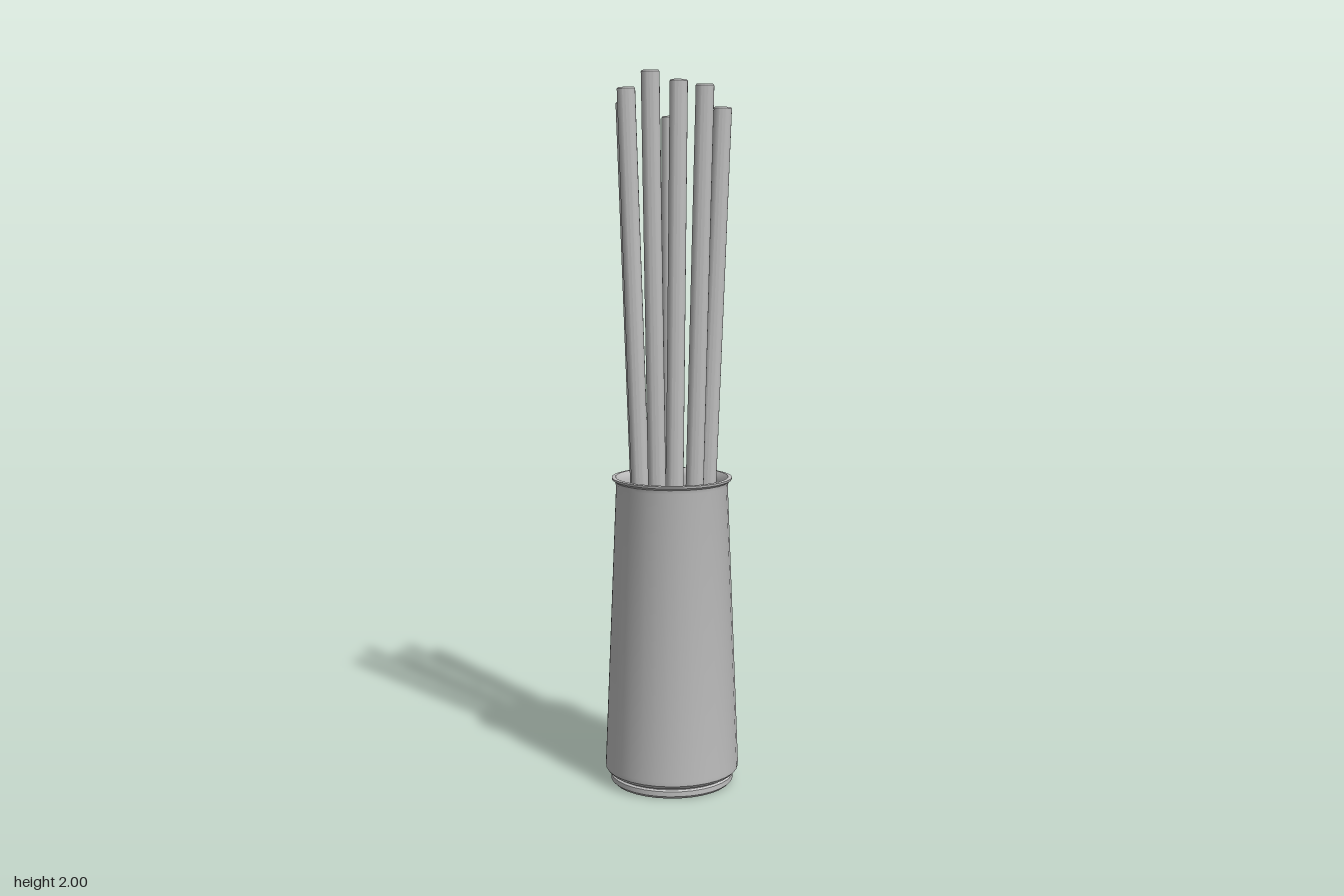
import * as THREE from 'three';
import { toCreasedNormals } from 'three/addons/utils/BufferGeometryUtils.js';

const FLOOR = 0.05;

// Lathe from [radius, height] pairs, with crisp profile corners
function turned(profile, segments) {
  const points = profile.map(([r, y]) => new THREE.Vector2(r, y));
  return toCreasedNormals(new THREE.LatheGeometry(points, segments), 0.5);
}

export function createModel() {
  const group = new THREE.Group();
  const grey = new THREE.MeshStandardMaterial({ color: 0xc0c0c0 });
  grey.name = 'pale grey';

  // Tapered holder: foot, groove, outer wall, flared lip, inner wall and floor
  const holder = new THREE.Mesh(turned([
    [0, 0], [0.168, 0], [0.176, 0.008], [0.176, 0.022], [0.17, 0.026],
    [0.17, 0.03], [0.181, 0.032], [0.19, 0.042], [0.191, 0.055],
    [0.158, 0.862], [0.161, 0.873], [0.169, 0.879], [0.17, 0.885],
    [0.159, 0.886], [0.152, 0.876], [0.148, 0.862],
    [0.178, FLOOR + 0.01], [0.17, FLOOR], [0, FLOOR],
  ], 32), grey);
  holder.name = 'holder';
  group.add(holder);

  // Leaning sticks: x, height and z of each top; each foot sits half as far out
  const tops = [
    [-0.013, 1.893, -0.152], [0.085, 1.86, -0.117], [0.14, 1.91, 0.008],
    [0.095, 1.965, 0.115], [-0.05, 2.0, 0.137], [-0.12, 1.96, 0.071],
    [-0.137, 1.93, -0.081],
  ].map(([x, y, z]) => ({ top: [x, y, z], foot: [x / 2, FLOOR, z / 2] }));
  tops.push({ top: [0.019, 1.985, 0], foot: [0, FLOOR, 0] });

  const up = new THREE.Vector3(0, 1, 0);
  tops.forEach(({ top, foot }, i) => {
    const start = new THREE.Vector3(...foot);
    const axis = new THREE.Vector3(...top).sub(start);
    const length = axis.length();
    const stick = new THREE.Mesh(turned([
      [0, 0], [0.022, 0], [0.025, 0.004],
      [0.025, length - 0.005], [0.022, length - 0.001], [0, length - 0.001],
    ], 18), grey);
    stick.name = `stick${i + 1}`;
    stick.position.copy(start);
    stick.quaternion.setFromUnitVectors(up, axis.normalize());
    group.add(stick);
  });

  return group;
}
